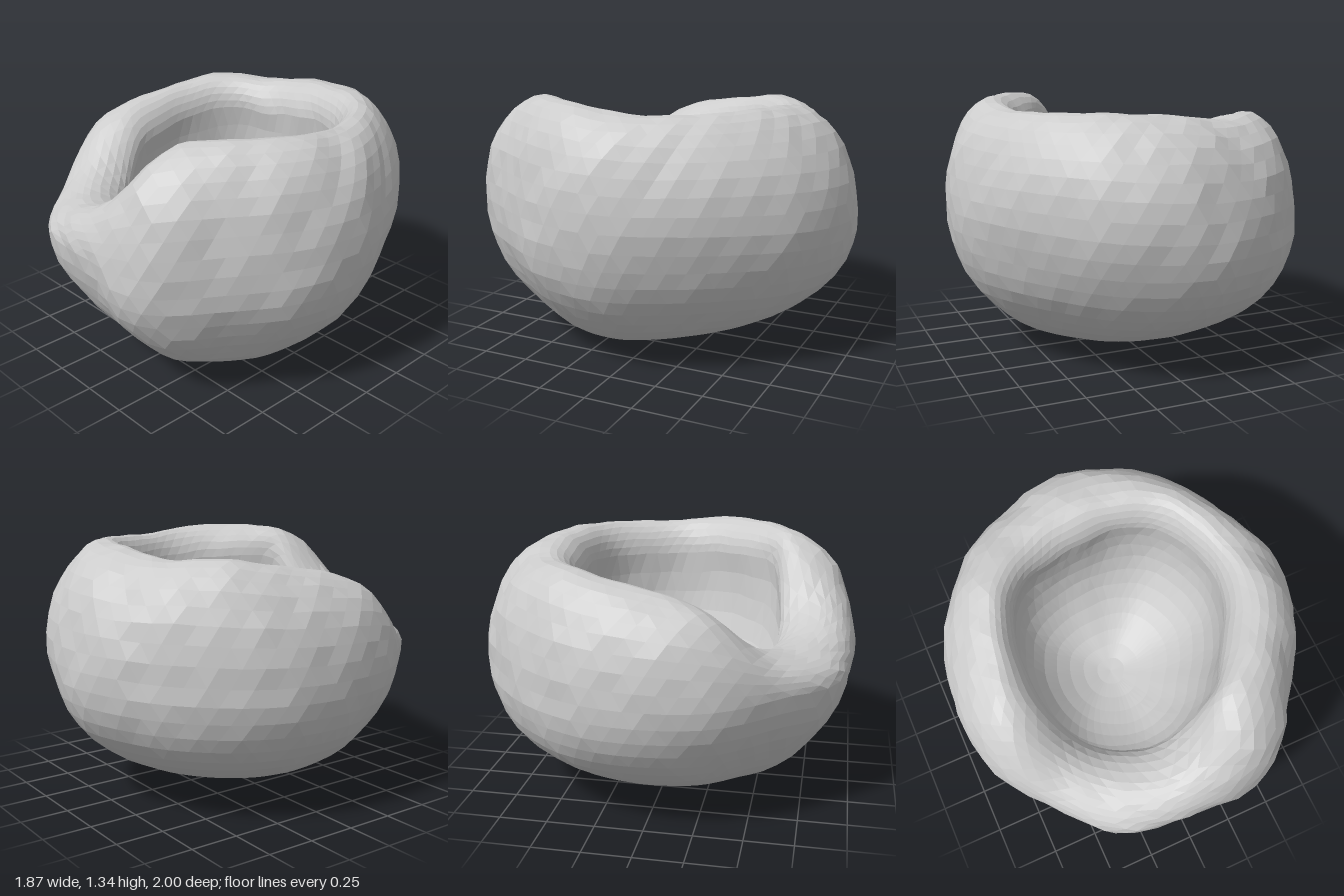
import * as THREE from 'three';

// Sixteen directions, from +x turning towards +z
const OUTER = [0.935, 0.93, 0.93, 1.03, 0.975, 1.0, 0.93, 0.95, 0.935, 0.94, 0.945, 0.97, 1.005, 0.975, 0.905, 0.895];
const RIM_Y = [1.31, 1.335, 1.34, 1.29, 0.99, 0.885, 0.91, 1.14, 1.215, 1.25, 1.28, 1.27, 1.3, 1.31, 1.3, 1.3];
const RIM_R = [0.65, 0.67, 0.68, 0.69, 0.8, 0.77, 0.72, 0.72, 0.65, 0.64, 0.65, 0.64, 0.63, 0.63, 0.65, 0.64];
const NECK = [0.55, 0.53, 0.53, 0.59, 0.59, 0.57, 0.56, 0.55, 0.53, 0.53, 0.54, 0.5, 0.48, 0.51, 0.55, 0.55];

const SEGMENTS = 56, LOWER = 13, UPPER = 9, LIP = 6, CAVITY = 11;
const FLOOR_Y = 0.3;

// Smooth periodic lookup in a direction table
function around(table, a) {
  const n = table.length;
  const f = a / (2 * Math.PI) * n;
  const i = Math.floor(f), t = f - i;
  const [p, q, r, s] = [-1, 0, 1, 2].map(k => table[(i + k + n) % n]);
  return q + 0.5 * t * (r - p + t * (2 * p - 5 * q + 4 * r - s + t * (3 * (q - r) + s - p)));
}

// Position on the wall: underside, flank, rolled lip, then the hollow
function wallPoint(a, j) {
  const R = around(OUTER, a), H = around(RIM_Y, a);
  const crest = around(RIM_R, a), neck = around(NECK, a);
  const bulgeY = Math.min(0.75 + 0.04 * Math.cos(a), H - 0.16);
  const neckY = H - 0.17;
  let r, y, cx = 0, cz = 0;
  if (j <= LOWER) {
    // Flattened underside, fuller along one diagonal, lowest near the front
    const u = j / LOWER * Math.PI / 2;
    const v = Math.cos(u), s = Math.sin(u);
    r = R * Math.pow(s, 0.97) + 0.2 * s * v ** 6 + 0.07 * s * v * Math.cos(2 * a - Math.PI / 2);
    y = bulgeY * (1 - v) + 0.06 * r * v ** 3 * (1 - Math.cos(a - 0.6));
    cx = 0.04 * v ** 6;
    cz = 0.14 * v ** 6;
  } else if (j <= LOWER + UPPER) {
    const u = (j - LOWER) / UPPER * Math.PI / 2;
    r = crest + (R - crest) * Math.cos(u);
    y = bulgeY + (H - bulgeY) * Math.sin(u);
  } else if (j <= LOWER + UPPER + LIP) {
    const u = (j - LOWER - UPPER) / LIP * Math.PI / 2;
    r = crest + (neck - crest) * Math.sin(u);
    y = neckY + (H - neckY) * Math.cos(u);
  } else {
    // Hollow, leaning under the back and right of the lip
    const u = (j - LOWER - UPPER - LIP) / CAVITY * Math.PI / 2;
    const s = Math.sin(u);
    r = neck * Math.cos(u) * (1 + 0.12 * Math.sin(2 * u));
    y = neckY + (FLOOR_Y - neckY) * s;
    cx = -0.04 * s;
    cz = -0.04 * s;
  }
  return new THREE.Vector3(cx + r * Math.cos(a), y, cz + r * Math.sin(a));
}

// Gentle hand-formed unevenness
function lumps({ x, y, z }) {
  const k = 1
    + 0.009 * Math.sin(5 * x + 4 * y + 1) * Math.cos(4.5 * z - 3 * y)
    + 0.008 * Math.sin(11 * x - 7 * z + 2) * Math.cos(9 * y + 5 * z)
    + 0.006 * Math.sin(23 * x + 17 * y) * Math.sin(21 * z + 13 * y);
  return [x * k, y * (0.4 + 0.6 * k), z * k];
}

// Staggered rings joined from the underside over the lip to the floor
function bowlGeometry() {
  const rings = LOWER + UPPER + LIP + CAVITY;
  const positions = [], index = [];
  for (let j = 0; j <= rings; j++) {
    for (let i = 0; i < SEGMENTS; i++) {
      const a = (i + (j % 2) * 0.5) / SEGMENTS * 2 * Math.PI;
      positions.push(...lumps(wallPoint(a, j)));
    }
  }
  for (let j = 0; j < rings; j++) {
    for (let i = 0; i < SEGMENTS; i++) {
      const n = (i + 1) % SEGMENTS;
      const a = j * SEGMENTS + i, b = j * SEGMENTS + n;
      const c = a + SEGMENTS, d = b + SEGMENTS;
      if (j % 2) index.push(a, c, d, a, d, b);
      else index.push(a, c, b, b, c, d);
    }
  }
  const geometry = new THREE.BufferGeometry();
  geometry.setAttribute('position', new THREE.Float32BufferAttribute(positions, 3));
  geometry.setIndex(index);
  geometry.computeVertexNormals();
  return geometry;
}

export function createModel() {
  const group = new THREE.Group();
  group.name = 'lumpyBowl';
  const material = new THREE.MeshStandardMaterial({ color: 0xcccccc, flatShading: true });
  const bowl = new THREE.Mesh(bowlGeometry(), material);
  bowl.name = 'bowlBody';
  group.add(bowl);
  return group;
}
